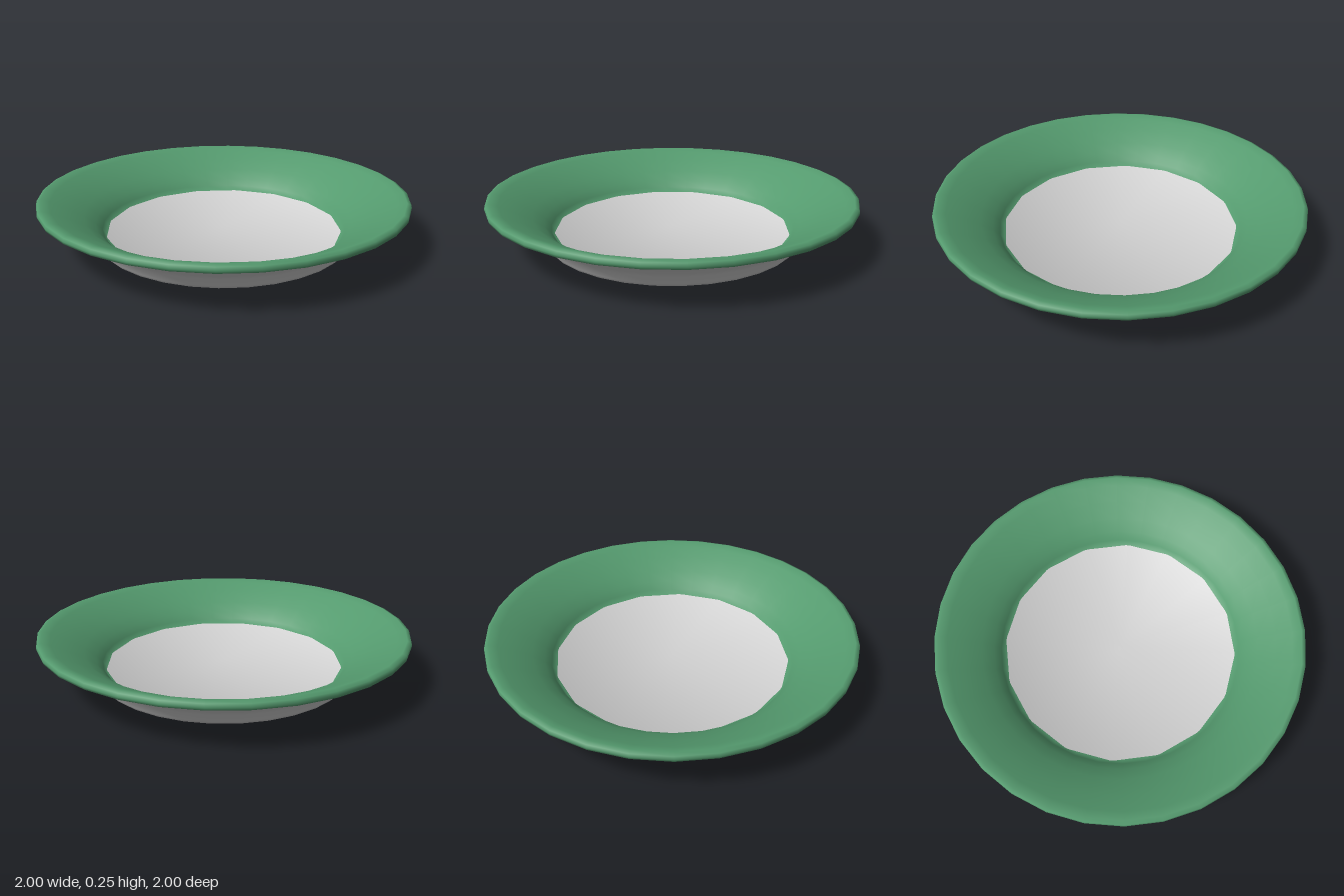
import * as THREE from 'three';

const SIDES = 32;

const green = new THREE.MeshStandardMaterial({ color: 0x549a6e });
green.name = 'green glaze';
const white = new THREE.MeshStandardMaterial({ color: 0xd2d2d2 });
white.name = 'pale ceramic';

// Turned part from [radius, height] pairs
function turned(name, profile, material) {
  const points = profile.map(([r, y]) => new THREE.Vector2(r, y));
  const mesh = new THREE.Mesh(new THREE.LatheGeometry(points, SIDES), material);
  mesh.name = name;
  return mesh;
}

export function createModel() {
  const plate = new THREE.Group();
  plate.name = 'plate';

  // Flat foot and flaring outer wall
  plate.add(turned('underside', [
    [0, 0], [0.69, 0], [0.70, 0.015], [0.73, 0.064], [0.757, 0.09],
    [0.835, 0.144], [0.925, 0.19], [0.985, 0.212],
  ], white));

  // Rounded lip, then the inner wall down to just below the floor
  plate.add(turned('rimAndInnerWall', [
    [0.985, 0.212], [0.997, 0.217], [1, 0.23], [0.996, 0.247], [0.975, 0.255],
    [0.93, 0.238], [0.85, 0.2], [0.76, 0.15], [0.70, 0.105], [0.665, 0.07],
    [0.645, 0.041], [0.61, 0.038],
  ], green));

  // Sixteen-sided floor, with normals leaning inward to blend into the wall
  const floorGeometry = new THREE.CircleGeometry(0.647, 16);
  floorGeometry.rotateX(-Math.PI / 2).rotateY(-0.09);
  const { position, normal } = floorGeometry.attributes;
  const n = new THREE.Vector3();
  for (let i = 0; i < position.count; i++) {
    n.set(-0.7 * position.getX(i), 1, -0.7 * position.getZ(i)).normalize();
    normal.setXYZ(i, n.x, n.y, n.z);
  }
  const floor = new THREE.Mesh(floorGeometry, white);
  floor.name = 'floor';
  floor.position.y = 0.045;
  plate.add(floor);

  return plate;
}
